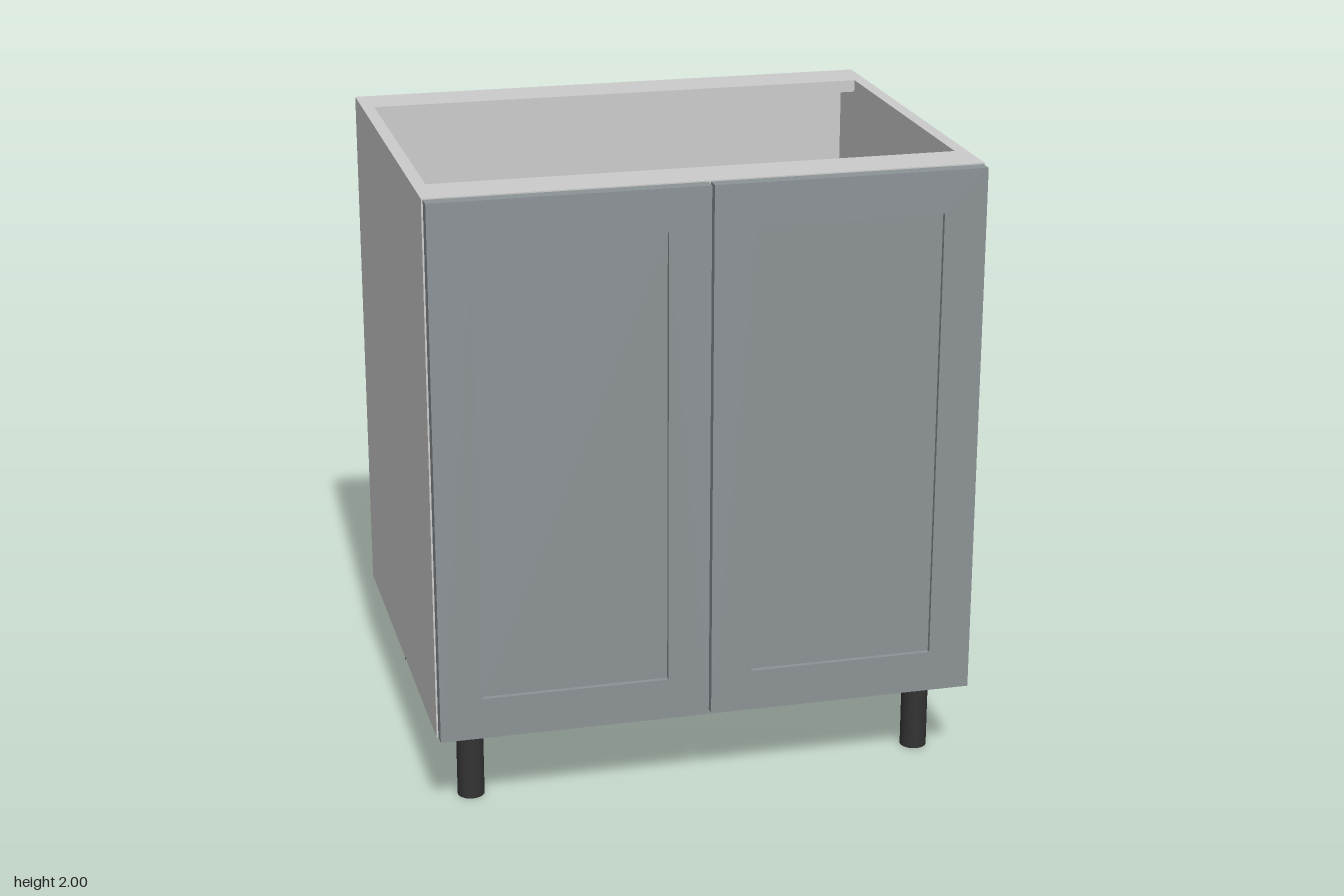
import * as THREE from 'three';

const W = 0.868, BOTTOM = 0.267, TOP = 2, BACK = -0.693, FRONT = 0.645, T = 0.04;
const grey = new THREE.MeshStandardMaterial({ color: 0xcccccc });
const doorPaint = new THREE.MeshStandardMaterial({ color: 0x8c9396 });
const legBlack = new THREE.MeshStandardMaterial({ color: 0x333333 });

// Box given by its lower and upper corners
function board(name, [x0, y0, z0], [x1, y1, z1], material = grey) {
  const mesh = new THREE.Mesh(new THREE.BoxGeometry(x1 - x0, y1 - y0, z1 - z0), material);
  mesh.position.set((x0 + x1) / 2, (y0 + y1) / 2, (z0 + z1) / 2);
  mesh.name = name;
  return mesh;
}

function rectangle(Type, x0, y0, x1, y1) {
  return new Type([[x0, y0], [x1, y0], [x1, y1], [x0, y1]].map(p => new THREE.Vector2(...p)));
}

// Framed door with a recessed centre panel
function createDoor(name, side) {
  const door = new THREE.Group();
  door.name = name;
  const z0 = 0.648, z1 = 0.693, recess = 0.015;
  const outer = [0.004, 0.271, 0.863, 1.997];
  const inner = [0.136, 0.405, 0.728, 1.862];
  const span = ([a, b, c, d]) => side > 0 ? [a, b, c, d] : [-c, b, -a, d];
  const shape = rectangle(THREE.Shape, ...span(outer));
  shape.holes.push(rectangle(THREE.Path, ...span(inner)));
  const frame = new THREE.Mesh(
    new THREE.ExtrudeGeometry(shape, { depth: z1 - z0, bevelEnabled: false }), doorPaint);
  frame.position.z = z0;
  frame.name = 'doorFrame';
  const [a, b, c, d] = span(inner);
  door.add(frame, board('doorPanel', [a, b, z0], [c, d, z1 - recess], doorPaint));
  return door;
}

export function createModel() {
  const model = new THREE.Group();
  model.name = 'baseCabinet';
  const inX = W - T, backFront = BACK + 0.012;

  // Carcass
  model.add(
    board('leftSide', [inX, BOTTOM, BACK], [W, TOP, FRONT]),
    board('rightSide', [-W, BOTTOM, BACK], [-inX, TOP, FRONT]),
    board('bottomPanel', [-inX, BOTTOM, backFront], [inX, BOTTOM + T, FRONT]),
    board('backPanel', [-inX, BOTTOM, BACK], [inX, TOP, backFront]),
    board('shelf', [-inX, 1.115, backFront], [inX, 1.155, 0.62]),
    board('frontRail', [-inX, TOP - T, 0.485], [inX, TOP, FRONT]),
    board('backRail', [-inX, TOP - T, backFront], [inX, TOP, -0.53]),
  );

  // Doors
  model.add(createDoor('leftDoor', 1), createDoor('rightDoor', -1));

  // Legs
  const legGeometry = new THREE.CylinderGeometry(0.043, 0.043, BOTTOM, 32);
  for (const x of [-0.743, 0.743]) {
    for (const z of [-0.543, 0.523]) {
      const leg = new THREE.Mesh(legGeometry, legBlack);
      leg.position.set(x, BOTTOM / 2, z);
      leg.name = `${z > 0 ? 'front' : 'back'}${x > 0 ? 'Left' : 'Right'}Leg`;
      model.add(leg);
    }
  }
  return model;
}
